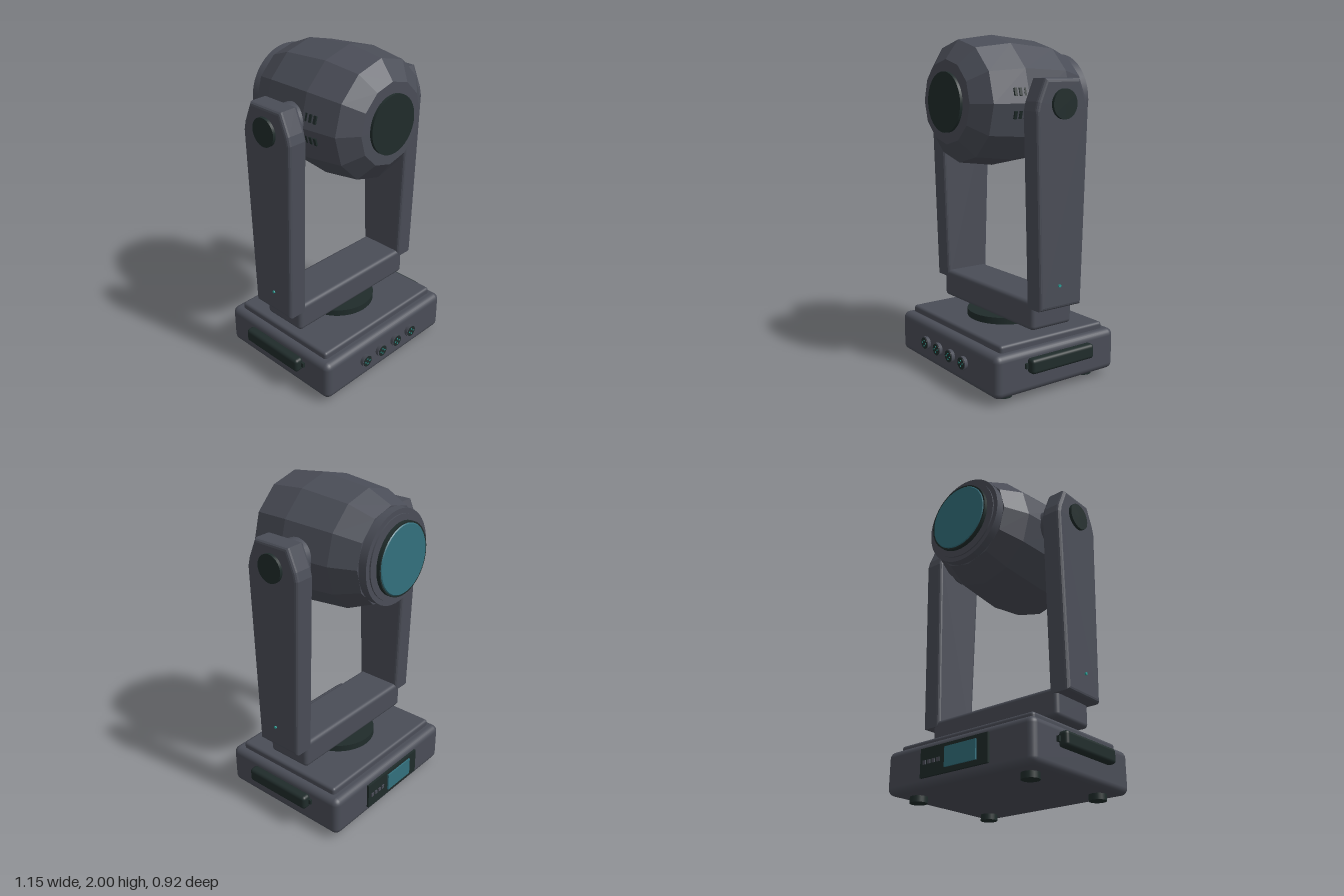
import * as THREE from 'three';
import { RoundedBoxGeometry } from 'three/addons/geometries/RoundedBoxGeometry.js';

const paint = (name, color) => {
  const m = new THREE.MeshStandardMaterial({ color });
  m.name = name;
  return m;
};

export function createModel() {
  const body = paint('charcoal housing', 0x4a4d57);
  const dark = paint('dark rubber', 0x202c2b);
  const glass = paint('teal glass', 0x33707d);
  const led = paint('teal indicator', 0x2a9d94);

  const model = new THREE.Group();
  model.name = 'movingHeadLight';
  const group = (name, parent = model) => {
    const g = new THREE.Group();
    g.name = name;
    parent.add(g);
    return g;
  };
  const add = (parent, name, geometry, material, x = 0, y = 0, z = 0) => {
    const m = new THREE.Mesh(geometry, material);
    m.name = name;
    m.position.set(x, y, z);
    parent.add(m);
    return m;
  };
  const rounded = (w, h, d, r) => new RoundedBoxGeometry(w, h, d, 3, r);
  // Cylinder along an axis; r1 is the radius at the positive end
  const rod = (axis, r1, r0, length, sides = 32) => {
    const g = new THREE.CylinderGeometry(r1, r0, length, sides);
    if (axis === 'x') g.rotateZ(-Math.PI / 2);
    if (axis === 'z') g.rotateX(Math.PI / 2);
    return g;
  };

  // Base with a raised top plate, turntable and feet
  const base = group('base');
  base.position.z = 0.005;
  add(base, 'baseHousing', rounded(1.04, 0.25, 0.86, 0.04), body, 0, 0.16, 0);
  add(base, 'topPlate', rounded(0.95, 0.08, 0.74, 0.018), body, 0, 0.285, 0);
  add(base, 'turntable', rod('y', 0.228, 0.228, 0.045, 48), dark, 0, 0.343, 0);
  for (const x of [-0.395, 0.395])
    for (const z of [-0.295, 0.295])
      add(base, 'foot', rod('y', 0.05, 0.05, 0.05, 24), dark, x, 0.025, z);

  // Side handles
  for (const s of [-1, 1]) {
    add(base, 'handle', rounded(0.06, 0.087, 0.45, 0.02), dark, s * 0.545, 0.201, 0);
    add(base, 'handleMount', new THREE.BoxGeometry(0.03, 0.03, 0.48), dark, s * 0.52, 0.2, 0);
  }

  // Row of round sockets on the front
  for (let i = 0; i < 4; i++) {
    const socket = group('socket', base);
    socket.position.set((i - 1.5) * 0.136, 0.165, 0.428);
    add(socket, 'socketCollar', rod('z', 0.043, 0.036, 0.026, 24), body, 0, 0, 0.013);
    add(socket, 'socketFace', rod('z', 0.035, 0.035, 0.003, 24), dark, 0, 0, 0.0265);
    for (let k = 0; k < 4; k++) {
      const a = k * Math.PI / 2;
      add(socket, 'pin', rod('z', 0.005, 0.005, 0.003, 8), led,
        Math.cos(a) * 0.017, Math.sin(a) * 0.017, 0.0285);
    }
  }

  // Control panel on the back
  const panel = group('controlPanel', base);
  panel.position.set(0, 0.165, -0.43);
  add(panel, 'panelPlate', new THREE.BoxGeometry(0.48, 0.16, 0.02), dark, 0, 0, -0.004);
  add(panel, 'screen', new THREE.BoxGeometry(0.22, 0.11, 0.009), glass, -0.055, 0.003, -0.0185);
  for (let i = 0; i < 4; i++)
    add(panel, 'button', new THREE.BoxGeometry(0.02, 0.022, 0.006), body, 0.105 + i * 0.034, 0, -0.017);

  // Yoke: cross bar and two tapered arms
  const yoke = group('yoke');
  yoke.position.z = 0.005;
  add(yoke, 'crossBar', rounded(0.92, 0.17, 0.29, 0.025), body, 0, 0.445, 0);
  const outline = new THREE.Shape([
    [-0.148, 0.49], [0.148, 0.49], [0.182, 1.59], [0.17, 1.64], [0.118, 1.762],
    [-0.118, 1.762], [-0.17, 1.64], [-0.182, 1.59],
  ].map(([x, y]) => new THREE.Vector2(x, y)));
  const bevel = 0.02;
  const armGeometry = new THREE.ExtrudeGeometry(outline, {
    depth: 0.127 - 2 * bevel, bevelThickness: bevel, bevelSize: bevel,
    bevelOffset: -bevel, bevelSegments: 3,
  });
  armGeometry.translate(0, 0, -(0.127 - 2 * bevel) / 2).rotateY(Math.PI / 2);
  const axisY = 1.625;
  for (const s of [-1, 1]) {
    add(yoke, 'arm', armGeometry, body, s * 0.475, 0, 0);
    add(yoke, 'pivotCap', rod('x', 0.082, 0.082, 0.03), dark, s * 0.541, axisY, 0);
    add(yoke, 'trunnion', rod('x', 0.112, 0.112, 0.1), body, s * 0.385, axisY, 0);
    add(yoke, 'trunnionCollar', rod('x', 0.095, 0.095, 0.07), body, s * 0.345, axisY, 0);
    add(yoke, 'indicator', rod('x', 0.008, 0.008, 0.014, 12), led, s * 0.54, 0.624, 0.016);
  }

  // Faceted twelve-sided head, lying along z
  const head = group('head');
  head.position.y = axisY;
  const profile = [
    [0, -0.36], [0.28, -0.36], [0.345, -0.21], [0.375, 0.1],
    [0.345, 0.325], [0.237, 0.408], [0, 0.41],
  ].map(([r, z]) => new THREE.Vector2(r, z));
  const shell = new THREE.LatheGeometry(profile, 12).rotateX(Math.PI / 2).toNonIndexed();
  shell.computeVertexNormals();
  add(head, 'headShell', shell, body);
  add(head, 'frontCap', rod('z', 0.17, 0.17, 0.02, 40), dark, 0, 0, 0.415);

  // Stepped lens barrel and lens
  add(head, 'lensBarrel', rod('z', 0.27, 0.27, 0.055, 48), body, 0, 0, -0.3825);
  add(head, 'barrelLip', rod('z', 0.242, 0.242, 0.01, 48), body, 0, 0, -0.413);
  add(head, 'lensRim', rod('z', 0.21, 0.21, 0.022, 48), dark, 0, 0, -0.442);
  add(head, 'lens', rod('z', 0.202, 0.196, 0.006, 48), glass, 0, 0, -0.455);

  // Vent slots on both sides, lying on the facets
  for (const s of [-1, 1])
    for (const v of [-1, 1])
      for (let i = 0; i < 3; i++) {
        const slot = add(head, 'vent', new THREE.BoxGeometry(0.01, 0.045, 0.018), dark,
          s * 0.351, v * 0.062, 0.12 + i * 0.033);
        slot.rotation.z = s * v * Math.PI / 12;
      }

  return model;
}
